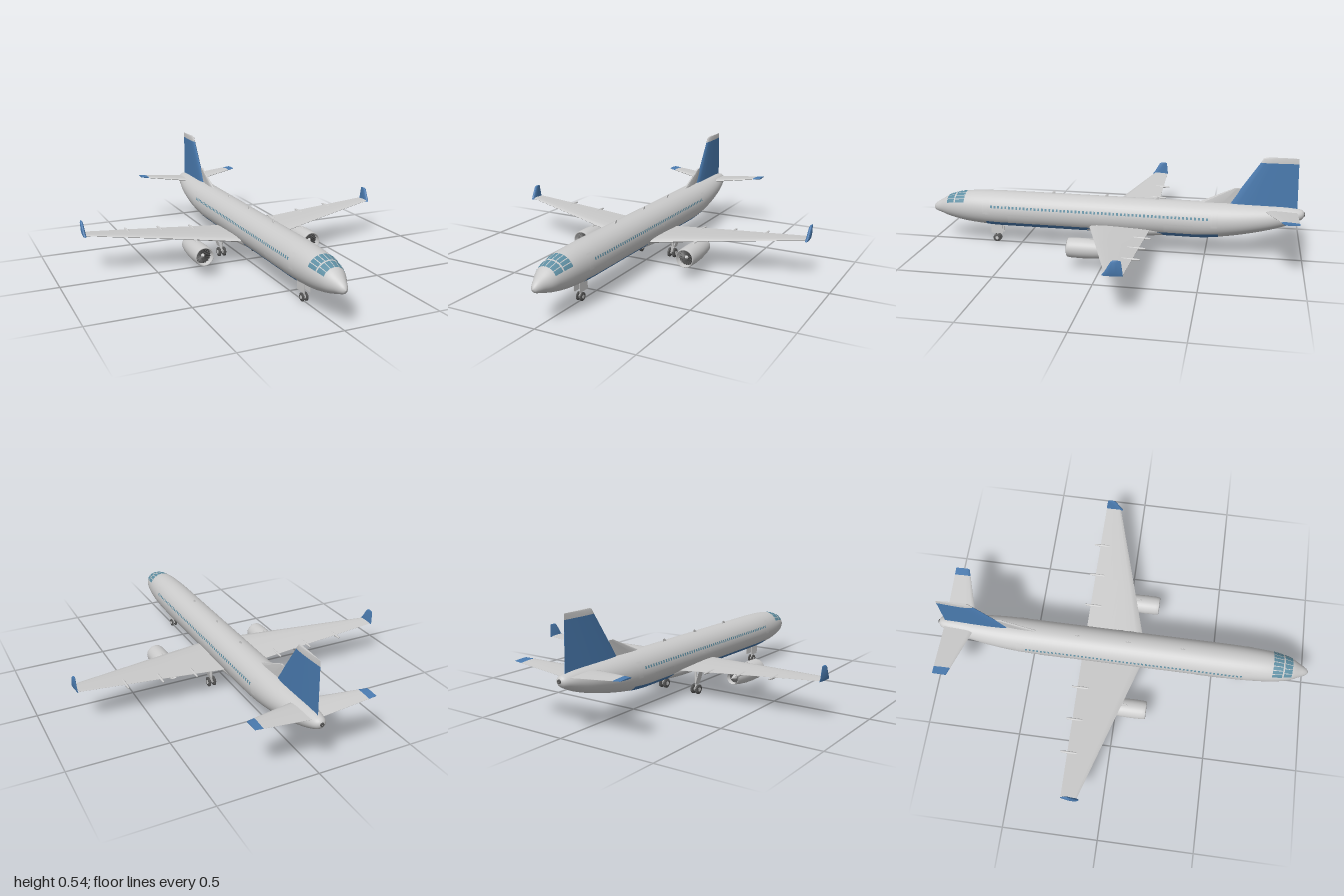
import * as THREE from 'three';
import { mergeVertices, mergeGeometries, toCreasedNormals } from 'three/addons/utils/BufferGeometryUtils.js';

const material = (color, side = THREE.FrontSide) => new THREE.MeshStandardMaterial({ color, side });
const GREY = material(0xcccccc), BLUE = material(0x4a7bb0), GLASS = material(0x5f8fa3), DARK = material(0x555555);
const RAD = Math.PI / 180;

// Fuselage stations, nose to tail: z, centre height, half height, half width
const STATIONS = [
  [1, 0.18, 0, 0], [0.993, 0.18, 0.014, 0.012], [0.975, 0.183, 0.027, 0.024], [0.95, 0.187, 0.038, 0.036],
  [0.9, 0.194, 0.061, 0.06], [0.8, 0.1965, 0.0835, 0.08], [0.65, 0.195, 0.094, 0.09], [0.5, 0.195, 0.095, 0.092],
  [0.4, 0.195, 0.095, 0.092], [-0.35, 0.195, 0.095, 0.092], [-0.5, 0.196, 0.094, 0.092], [-0.65, 0.206, 0.084, 0.087],
  [-0.8, 0.2215, 0.0665, 0.071], [-0.9, 0.235, 0.05, 0.052], [-0.96, 0.245, 0.034, 0.038], [-0.988, 0.25, 0.021, 0.023],
  [-1, 0.252, 0, 0],
];

// Smooth interpolation between stations
function station(z) {
  const S = STATIONS, n = S.length;
  let i = 0;
  while (i < n - 2 && z < S[i + 1][0]) i++;
  const slope = (k, c) => {
    const a = S[Math.max(k - 1, 0)], b = S[Math.min(k + 1, n - 1)];
    return (b[c] - a[c]) / (b[0] - a[0]);
  };
  const d = S[i + 1][0] - S[i][0], t = (z - S[i][0]) / d, t2 = t * t, t3 = t2 * t;
  return [1, 2, 3].map((c) => S[i][c] * (2 * t3 - 3 * t2 + 1) + S[i + 1][c] * (3 * t2 - 2 * t3)
    + d * (slope(i, c) * (t3 - 2 * t2 + t) + slope(i + 1, c) * (t3 - t2)));
}

// Point on the skin; the angle runs from the top towards +x
function skin(z, a, lift = 0) {
  const [y, h, w] = station(z);
  return [(Math.max(w, 0) + lift) * Math.sin(a), y + (Math.max(h, 0) + lift) * Math.cos(a), z];
}

function grid(nu, nv, fn) {
  const pos = [], idx = [];
  for (let i = 0; i <= nu; i++) for (let j = 0; j <= nv; j++) pos.push(...fn(i / nu, j / nv));
  for (let i = 0; i < nu; i++) for (let j = 0; j < nv; j++) {
    const a = i * (nv + 1) + j, b = a + 1, c = a + nv + 1;
    idx.push(a, b, c, b, c + 1, c);
  }
  const g = new THREE.BufferGeometry();
  g.setAttribute('position', new THREE.Float32BufferAttribute(pos, 3));
  g.setIndex(idx);
  const merged = mergeVertices(g, 1e-5);
  merged.computeVertexNormals();
  return merged;
}

// Panel lying just above the skin, z0 ahead of z1
const patch = (z0, z1, a0, a1, lift = 0.0012, nu = 2, nv = 3) =>
  grid(nu, nv, (u, v) => skin(z0 + (z1 - z0) * u, a0 + (a1 - a0) * v, lift));
// The same panel on both sides, given by heights
function sidePatches(z0, z1, y0, y1, lift, nu, nv) {
  const [yc, h] = station((z0 + z1) / 2);
  const a0 = Math.acos((y1 - yc) / h), a1 = Math.acos((y0 - yc) / h);
  return [patch(z0, z1, a0, a1, lift, nu, nv), patch(z0, z1, -a1, -a0, lift, nu, nv)];
}

// Aerofoil solid through sections [x, y, zFront, zBack, thickness]
const FOIL = [[0, 0], [0.03, 0.28], [0.12, 0.46], [0.3, 0.5], [0.6, 0.36], [1, 0.04]];
const OUTLINE = [...FOIL, ...FOIL.slice(1).reverse().map(([c, t]) => [c, -t])];
function foil(sections, upright = false, side = 1) {
  const pos = [], idx = [], n = OUTLINE.length, last = (sections.length - 1) * n;
  for (const [x, y, zf, zb, th] of sections) for (const [c, t] of OUTLINE)
    pos.push(side * (x + (upright ? t * th : 0)), y + (upright ? 0 : t * th), zf + (zb - zf) * c);
  for (let s = 0; s < sections.length - 1; s++) for (let j = 0; j < n; j++) {
    const a = s * n + j, b = s * n + (j + 1) % n;
    idx.push(a, b, a + n, b, b + n, a + n);
  }
  for (let j = 1; j < n - 1; j++) idx.push(0, j + 1, j, last, last + j, last + j + 1);
  // turn the faces outward if the enclosed volume is negative
  let volume = 0;
  const p = (i) => new THREE.Vector3().fromArray(pos, i * 3);
  for (let i = 0; i < idx.length; i += 3) volume += p(idx[i]).dot(p(idx[i + 1]).cross(p(idx[i + 2])));
  if (volume < 0) idx.reverse();
  const g = new THREE.BufferGeometry();
  g.setAttribute('position', new THREE.Float32BufferAttribute(pos, 3));
  g.setIndex(idx);
  return toCreasedNormals(g, 35 * RAD);
}

function rod(a, b, r) {
  const A = new THREE.Vector3(...a), B = new THREE.Vector3(...b), d = B.clone().sub(A);
  const g = new THREE.CylinderGeometry(r, r, d.length(), 12);
  g.applyQuaternion(new THREE.Quaternion().setFromUnitVectors(new THREE.Vector3(0, 1, 0), d.normalize()));
  return g.translate(...A.add(B).multiplyScalar(0.5).toArray());
}
const box = (w, h, d, x, y, z) => new THREE.BoxGeometry(w, h, d).translate(x, y, z);
const latheZ = (pts) => new THREE.LatheGeometry(pts.map(([r, z]) => new THREE.Vector2(r, z)), 32).rotateX(Math.PI / 2);

export function createModel() {
  const model = new THREE.Group();
  const add = (name, geo, mat = GREY, parent = model) => {
    const m = new THREE.Mesh(Array.isArray(geo) ? mergeGeometries(geo) : geo, mat);
    m.name = name;
    parent.add(m);
    return m;
  };

  // Body
  add('fuselage', grid(80, 40, (u, v) => skin(Math.cos(Math.PI * u), v * 2 * Math.PI)));
  add('bellyPaint', patch(0.68, -0.57, 130 * RAD, 230 * RAD, 0.0012, 40, 16), BLUE);
  add('bellyFairing', grid(32, 24, (u, v) => {
    const k = Math.pow(Math.max(Math.sin(Math.PI * u), 0), 0.35), a = v * 2 * Math.PI;
    return [0.085 * k * Math.sin(a), 0.137 + 0.046 * k * Math.cos(a), 0.22 - 0.6 * u];
  }));
  add('tailExhaust', new THREE.CylinderGeometry(0.009, 0.012, 0.01, 16).rotateX(-Math.PI / 2).translate(0, 0.252, -0.994), DARK);

  // Cabin windows, doors and hatches
  const windows = [];
  for (let i = 0; i < 58; i++) {
    const z = 0.64 - i * 0.0202;
    windows.push(...sidePatches(z + 0.005, z - 0.005, 0.216, 0.229, 0.0022, 1, 1));
  }
  add('cabinWindows', windows, GLASS);
  const doors = [[0.69, 0.655, 0.18, 0.255], [-0.53, -0.565, 0.18, 0.255], [0.048, 0.024, 0.197, 0.245],
    [-0.012, -0.036, 0.197, 0.245], [0.55, 0.4, 0.138, 0.185], [-0.29, -0.44, 0.138, 0.185]];
  add('doors', doors.flatMap((d) => sidePatches(...d, 0.0014, 4, 6)));

  // Cockpit glazing: two rows of panes
  const panes = [];
  for (const [z0, z1, n] of [[0.905, 0.862, 6], [0.854, 0.8, 8]]) for (let i = 0; i < n; i++) {
    const step = 132 / n, a = -66 + i * step;
    panes.push(patch(z0, z1, (a + 1.5) * RAD, (a + step - 1.5) * RAD, 0.0016, 4, 4));
  }
  add('cockpitWindows', panes, GLASS);

  // Fin with grey cap and dorsal fillet
  add('fin', foil([[0, 0.27, -0.605, -0.96, 0.02], [0, 0.512, -0.765, -0.953, 0.015]], true), BLUE);
  add('finCap', foil([[0, 0.512, -0.765, -0.953, 0.015], [0, 0.533, -0.777, -0.952, 0.014], [0, 0.54, -0.79, -0.95, 0.01]], true));
  add('dorsalFin', foil([[0, 0.28, -0.44, -0.66, 0.014], [0, 0.372, -0.64, -0.67, 0.008]], true));

  // Antennas along the top
  for (const z of [0.32, 0.03, -0.24])
    add('antenna', foil([[0, 0.286, z + 0.016, z - 0.014, 0.006], [0, 0.303, z - 0.002, z - 0.016, 0.004]], true));

  for (const s of [1, -1]) {
    const side = new THREE.Group();
    side.name = s > 0 ? 'leftSide' : 'rightSide';
    model.add(side);

    // Wing, winglet and flap track fairings
    add('wing', foil([[0, 0.137, 0.128, -0.216, 0.03], [0.09, 0.143, 0.1, -0.215, 0.026],
      [0.4, 0.17, 0.006, -0.211, 0.015], [0.83, 0.204, -0.123, -0.205, 0.008]], false, s), GREY, side);
    add('winglet', foil([[0.836, 0.199, -0.112, -0.206, 0.016], [0.839, 0.215, -0.125, -0.205, 0.018],
      [0.842, 0.264, -0.153, -0.199, 0.014], [0.842, 0.271, -0.162, -0.197, 0.008]], true, s), BLUE, side);
    for (const x of [0.24, 0.42, 0.6]) {
      const fairing = latheZ([[0, -0.062], [0.004, -0.06], [0.0065, -0.03], [0.0065, 0.02], [0, 0.06]]);
      add('flapFairing', fairing.translate(s * x, 0.144 + 0.079 * (x - 0.09), -0.182), GREY, side);
    }

    // Tailplane with painted tip
    const tail = [[0, 0.262, -0.79, -0.96, 0.016], [0.265, 0.289, -0.873, -0.96, 0.009], [0.305, 0.293, -0.886, -0.96, 0.007]];
    add('tailplane', foil(tail.slice(0, 2), false, s), GREY, side);
    add('tailplaneTip', foil(tail.slice(1), false, s), BLUE, side);

    // Engine
    const engine = new THREE.Group();
    engine.name = 'engine';
    engine.position.set(s * 0.305, 0.108, 0);
    side.add(engine);
    const shell = latheZ([[0.027, -0.05], [0.031, -0.085], [0.035, -0.075], [0.043, -0.03], [0.049, 0.03], [0.051, 0.09],
      [0.05, 0.145], [0.048, 0.162], [0.0455, 0.166], [0.043, 0.162], [0.042, 0.13]]);
    add('nacelle', shell, material(0xcccccc, THREE.DoubleSide), engine);
    add('fanDisc', new THREE.CircleGeometry(0.043, 32).translate(0, 0, 0.13), DARK, engine);
    add('exhaustDisc', new THREE.CircleGeometry(0.03, 24).rotateY(Math.PI).translate(0, 0, -0.06), DARK, engine);
    const blades = [];
    for (let i = 0; i < 18; i++)
      blades.push(new THREE.BoxGeometry(0.008, 0.031, 0.0012).rotateY(0.6).translate(0, 0.026, 0.136).rotateZ(i * Math.PI / 9));
    add('fanBlades', blades, DARK, engine);
    add('spinner', new THREE.ConeGeometry(0.012, 0.022, 20).rotateX(Math.PI / 2).translate(0, 0, 0.143), GREY, engine);
    add('exhaustCone', new THREE.ConeGeometry(0.016, 0.05, 20).rotateX(-Math.PI / 2).translate(0, 0, -0.075), GREY, engine);
    add('pylon', foil([[0, 0.035, 0.1, -0.07, 0.014], [0, 0.053, 0.06, -0.12, 0.014]], true), GREY, engine);

    // Main landing gear
    const gear = new THREE.Group();
    gear.name = 'mainGear';
    side.add(gear);
    add('strut', [rod([s * 0.102, 0.025, -0.11], [s * 0.099, 0.15, -0.11], 0.0065),
      rod([s * 0.1, 0.055, -0.11], [s * 0.1, 0.135, -0.07], 0.003), rod([s * 0.085, 0.025, -0.11], [s * 0.12, 0.025, -0.11], 0.004)], GREY, gear);
    add('gearDoor', box(0.004, 0.078, 0.042, 0, 0, 0).rotateZ(-s * 0.3).translate(s * 0.126, 0.093, -0.118), GREY, gear);
    for (const x of [0.088, 0.117]) addWheel(gear, s * x, 0.025, -0.11, 0.013);
  }

  // Nose landing gear
  const noseGear = new THREE.Group();
  noseGear.name = 'noseGear';
  model.add(noseGear);
  add('strut', [rod([0, 0.021, 0.64], [0, 0.12, 0.64], 0.005), rod([-0.012, 0.021, 0.64], [0.012, 0.021, 0.64], 0.003)], GREY, noseGear);
  for (const s of [1, -1]) {
    add('gearDoor', box(0.003, 0.06, 0.066, s * 0.016, 0.08, 0.637), GREY, noseGear);
    addWheel(noseGear, s * 0.0105, 0.021, 0.64, 0.009);
  }

  // Tyre with a paler hub
  function addWheel(parent, x, r, z, width) {
    const b = width / 2, k = b * 0.6;
    const tyre = new THREE.LatheGeometry([[0, -b], [r * 0.8, -b], [r, -k], [r, k], [r * 0.8, b], [0, b]]
      .map((p) => new THREE.Vector2(...p)), 24).rotateZ(Math.PI / 2);
    add('tyre', toCreasedNormals(tyre, 50 * RAD).translate(x, r, z), DARK, parent);
    add('hub', new THREE.CylinderGeometry(r * 0.45, r * 0.45, width + 0.002, 16).rotateZ(Math.PI / 2).translate(x, r, z), GREY, parent);
  }
  return model;
}
